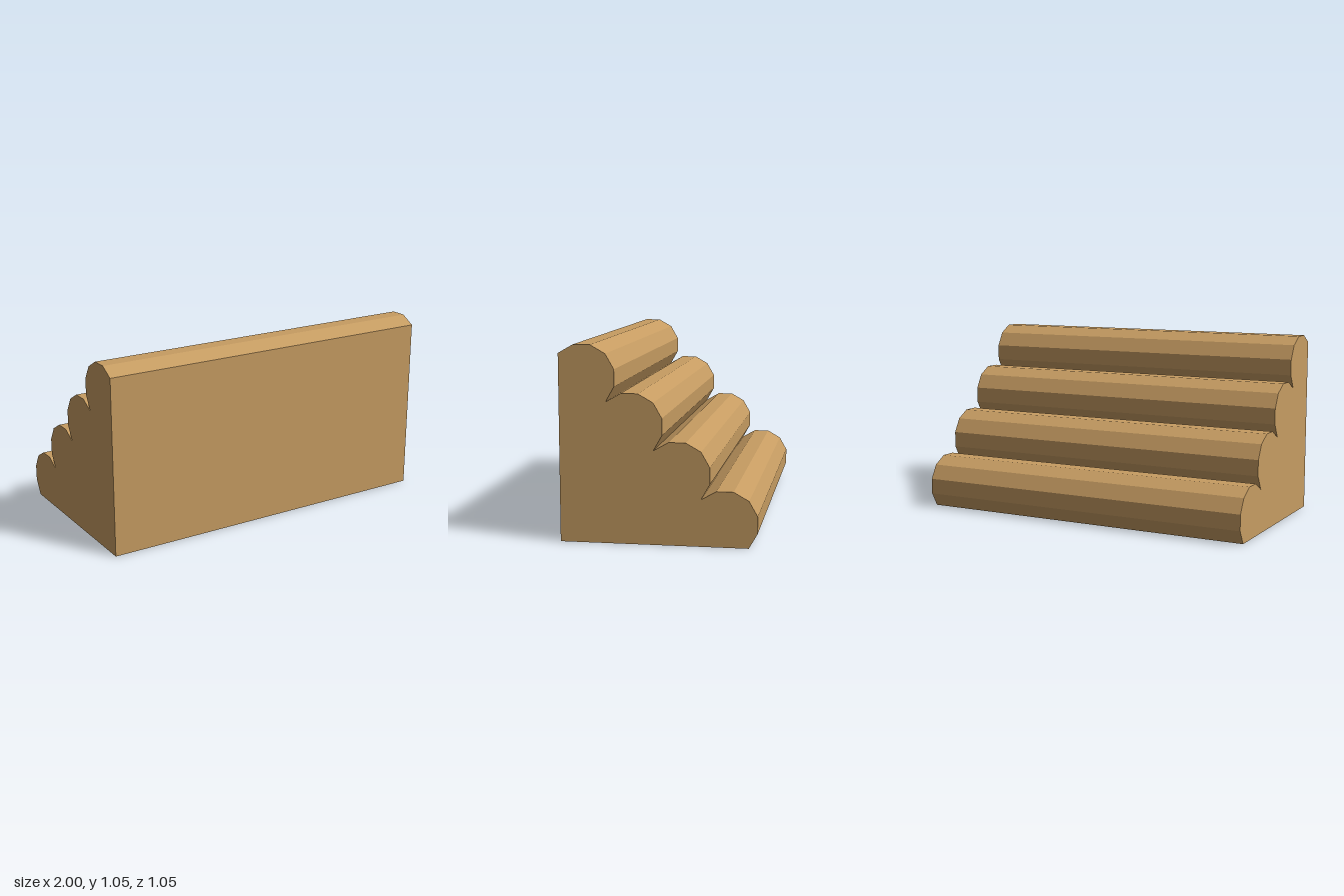
import * as THREE from 'three';

const STEPS = 4;
const STEP = 0.25;
const WIDTH = 2;

export function createModel() {
  const group = new THREE.Group();
  group.name = 'stairs';
  const wood = new THREE.MeshStandardMaterial({ color: 0xc69c62 });
  wood.name = 'lightWood';

  // Side profile: flat base and tall front wall, steps descending to the back
  const profile = [[-0.523, 0]];
  // Each step bulges out in faceted arcs on its riser and its tread
  const bulge = [[0, 0], [0.0455, 0.08], [0.0455, 0.17], [0, 0.25], [-0.08, 0.2955], [-0.17, 0.2955]];
  for (let i = 0; i < STEPS; i++) {
    for (const [u, v] of bulge) profile.push([0.477 - i * STEP + u, i * STEP + v]);
  }
  profile.push([-0.523, STEPS * STEP]);

  const shape = new THREE.Shape(profile.map(([u, v]) => new THREE.Vector2(u, v)));
  const geometry = new THREE.ExtrudeGeometry(shape, { depth: WIDTH, bevelEnabled: false });
  geometry.translate(0, 0, -WIDTH / 2);
  geometry.rotateY(Math.PI / 2);

  const steps = new THREE.Mesh(geometry, wood);
  steps.name = 'roundedSteps';
  group.add(steps);
  return group;
}
